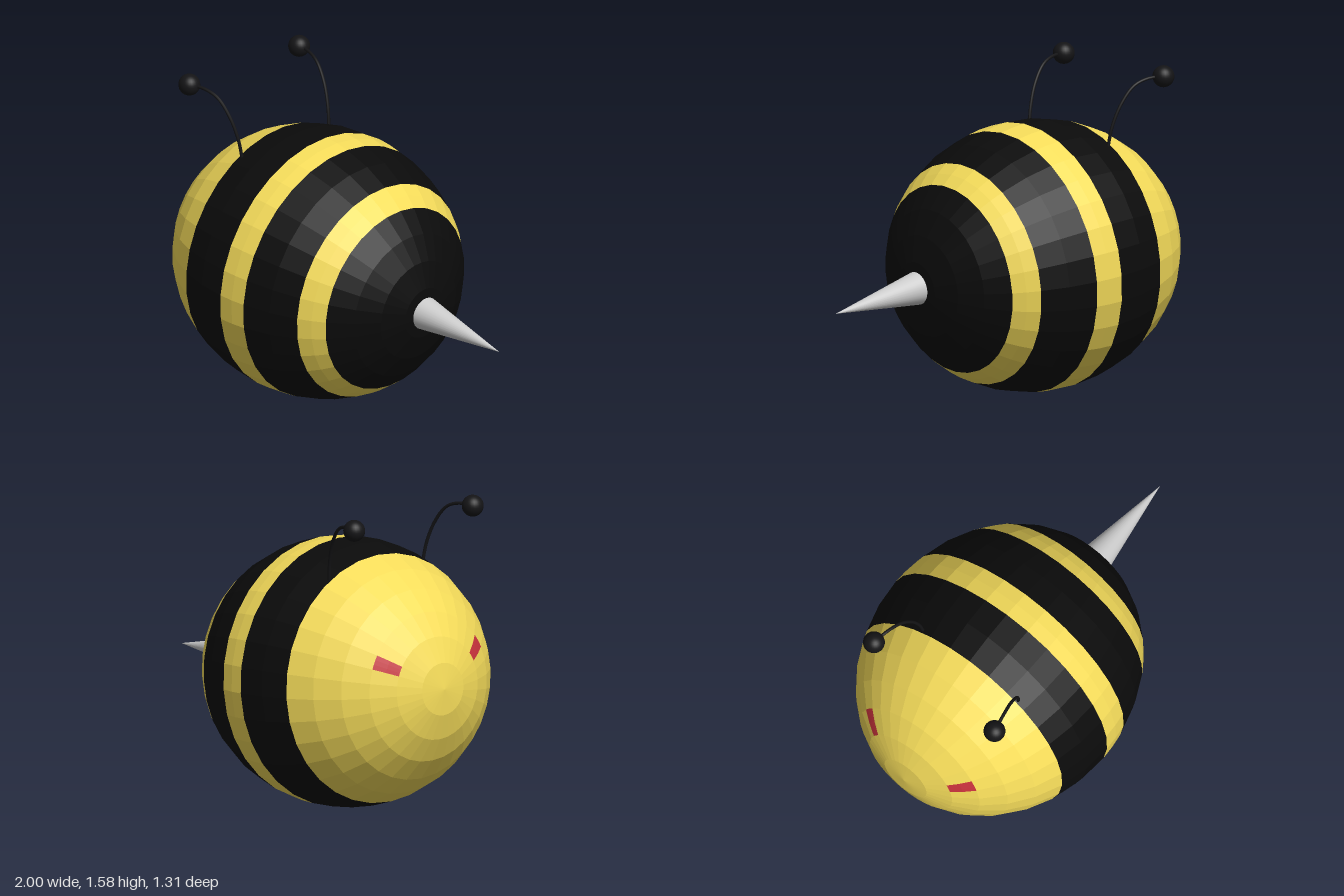
import * as THREE from 'three';

const RINGS = 16, SIDES = 32, STEP = Math.PI / RINGS;
const CENTER = new THREE.Vector3(-0.25, 0.658, 0);
const mat = (color, flatShading = false) => new THREE.MeshStandardMaterial({ color, flatShading });

function add(parent, name, geometry, material) {
  const mesh = new THREE.Mesh(geometry, material);
  mesh.name = name;
  parent.add(mesh);
  return mesh;
}

// Patch of the egg-shaped body: rings counted from the face, sides counted from the belly
function bodyPatch(ring0, ring1, side0 = 0, side1 = SIDES, grow = 1) {
  return new THREE.SphereGeometry(1, side1 - side0, ring1 - ring0,
    side0 * STEP, (side1 - side0) * STEP, ring0 * STEP, (ring1 - ring0) * STEP)
    .rotateZ(Math.PI / 2)
    .scale(0.75 * grow, 0.655 * grow, 0.655 * grow);
}

export function createModel() {
  const bee = new THREE.Group();
  bee.name = 'bee';
  const yellow = mat(0xf5dc5a, true), black = mat(0x0b0b0b, true);
  const red = mat(0xc8323c, true), dark = mat(0x141416), grey = mat(0xcccccc);

  // Striped body, tilted nose up
  const body = new THREE.Group();
  body.name = 'body';
  body.position.copy(CENTER);
  body.rotation.z = -THREE.MathUtils.degToRad(4.9);
  bee.add(body);
  const bands = [
    ['face', 0, 6, yellow], ['frontBlackStripe', 6, 8, black],
    ['middleYellowStripe', 8, 9, yellow], ['rearBlackStripe', 9, 11, black],
    ['rearYellowStripe', 11, 12, yellow], ['tail', 12, 16, black],
  ];
  for (const [name, a, b, material] of bands) add(body, name, bodyPatch(a, b), material);

  // Eyes: one facet on each side of the face
  add(body, 'eyeNear', bodyPatch(2, 3, 10, 11, 1.002), red);
  add(body, 'eyeFar', bodyPatch(2, 3, 21, 22, 1.002), red);

  // Stinger
  const base = new THREE.Vector3(0.485, 0.594, 0), tip = new THREE.Vector3(1, 0.537, 0);
  const axis = tip.clone().sub(base);
  const stinger = add(bee, 'stinger', new THREE.ConeGeometry(0.081, axis.length(), 32), grey);
  stinger.position.copy(base).add(tip).multiplyScalar(0.5);
  stinger.quaternion.setFromUnitVectors(new THREE.Vector3(0, 1, 0), axis.normalize());

  // Antennae with round knobs
  for (const s of [1, -1]) {
    const antenna = new THREE.Group();
    antenna.name = s > 0 ? 'antennaNear' : 'antennaFar';
    const curve = new THREE.CatmullRomCurve3([
      [-0.475, 1.2, 0.29], [-0.492, 1.3, 0.301], [-0.535, 1.41, 0.318],
      [-0.6, 1.493, 0.335], [-0.67, 1.522, 0.351], [-0.76, 1.526, 0.368],
    ].map(([x, y, z]) => new THREE.Vector3(x, y, s * z)));
    add(antenna, 'stalk', new THREE.TubeGeometry(curve, 24, 0.008, 8), dark);
    add(antenna, 'knob', new THREE.SphereGeometry(0.053, 24, 16), dark)
      .position.set(-0.76, 1.525, s * 0.368);
    bee.add(antenna);
  }
  return bee;
}
